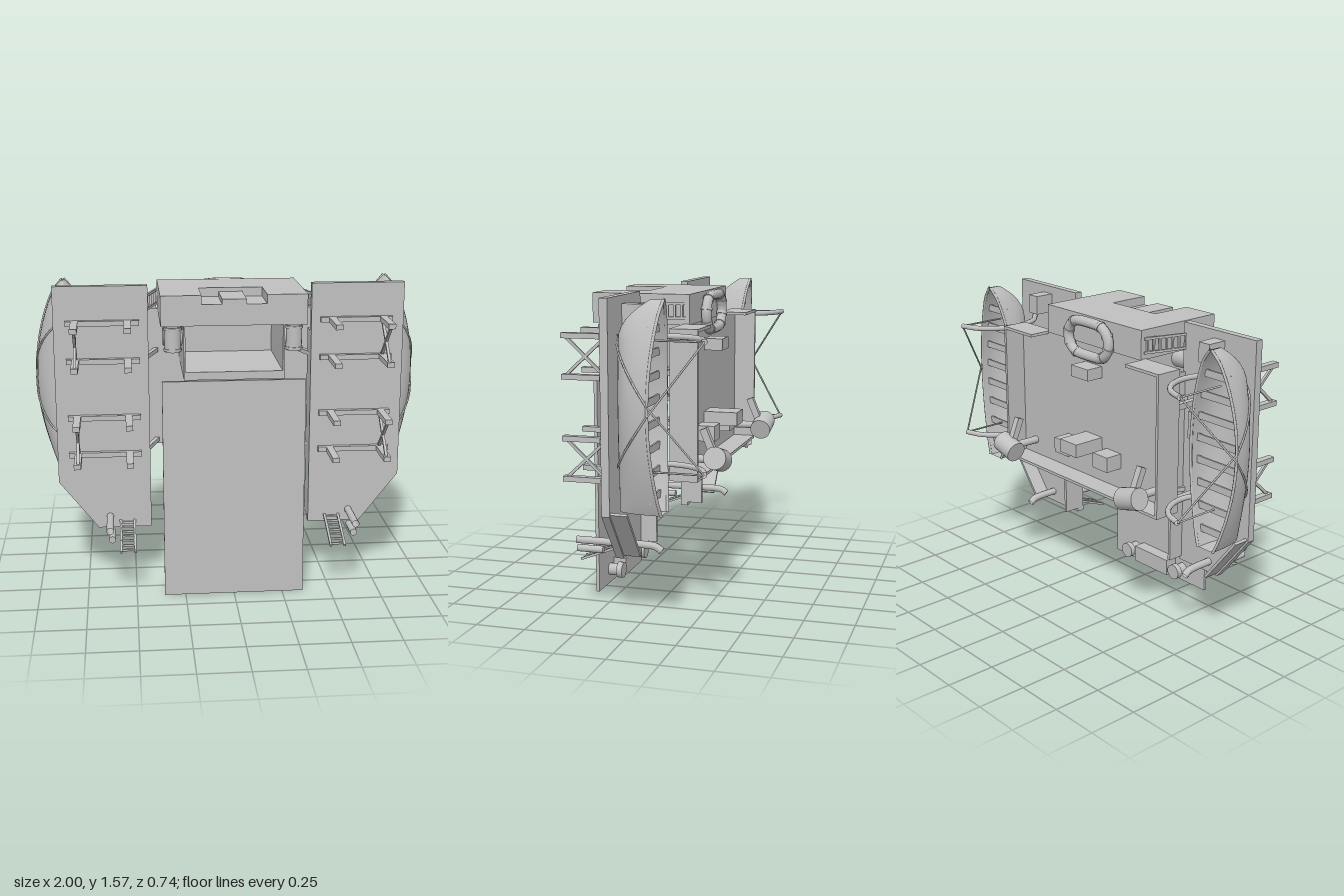
import * as THREE from 'three';

const grey = new THREE.MeshStandardMaterial({ color: 0xc0c0c0, side: THREE.DoubleSide });
grey.name = 'plain grey';

const V = (x, y, z) => new THREE.Vector3(x, y, z);

function add(parent, name, geometry) {
  const mesh = new THREE.Mesh(geometry, grey);
  mesh.name = name;
  parent.add(mesh);
  return mesh;
}

// Box given by its extents along each axis
function box(parent, name, x0, x1, y0, y1, z0, z1) {
  const m = add(parent, name, new THREE.BoxGeometry(Math.abs(x1 - x0), Math.abs(y1 - y0), Math.abs(z1 - z0)));
  m.position.set((x0 + x1) / 2, (y0 + y1) / 2, (z0 + z1) / 2);
  return m;
}

// Round rod between two points
function rod(parent, name, a, b, r, sides = 16) {
  const d = b.clone().sub(a);
  const m = add(parent, name, new THREE.CylinderGeometry(r, r, d.length(), sides));
  m.position.copy(a).add(b).multiplyScalar(0.5);
  m.quaternion.setFromUnitVectors(V(0, 1, 0), d.normalize());
  return m;
}

// Square bar between two points
function bar(parent, name, a, b, t) {
  const m = add(parent, name, new THREE.BoxGeometry(t, t, a.distanceTo(b)));
  m.position.copy(a).add(b).multiplyScalar(0.5);
  m.lookAt(b);
  return m;
}

function tube(parent, name, points, r, segments = 24, closed = false) {
  const curve = new THREE.CatmullRomCurve3(points, closed);
  return add(parent, name, new THREE.TubeGeometry(curve, segments, r, 10, closed));
}

// Flat plate from an outline in x and y, mirrored by s, between two depths
function plate(parent, name, s, outline, z0, z1) {
  const shape = new THREE.Shape(outline.map(([x, y]) => new THREE.Vector2(s * x, y)));
  const m = add(parent, name, new THREE.ExtrudeGeometry(shape, { depth: z1 - z0, bevelEnabled: false }));
  m.position.z = z0;
  return m;
}

// Surface from a function of two parameters
function grid(fn, nu, nv) {
  const pos = [], idx = [];
  for (let i = 0; i <= nu; i++) for (let j = 0; j <= nv; j++) {
    pos.push(...fn(i / nu, j / nv).toArray());
    if (i < nu && j < nv) {
      const a = i * (nv + 1) + j, b = a + nv + 1;
      idx.push(a, b, a + 1, b, b + 1, a + 1);
    }
  }
  const g = new THREE.BufferGeometry();
  g.setAttribute('position', new THREE.Float32BufferAttribute(pos, 3));
  g.setIndex(idx);
  g.computeVertexNormals();
  return g;
}

function ladder(parent, name, a, b, across, steps) {
  const g = new THREE.Group();
  g.name = name;
  parent.add(g);
  for (const k of [-1, 1]) {
    const o = across.clone().multiplyScalar(k);
    bar(g, 'ladderRail', a.clone().add(o), b.clone().add(o), 0.012);
  }
  for (let i = 0; i < steps; i++) {
    const p = a.clone().lerp(b, (i + 0.5) / steps);
    bar(g, 'ladderRung', p.clone().sub(across), p.clone().add(across), 0.01);
  }
}

// Boat hull shape: u runs stern to bow, v runs gunwale to gunwale
const beam = u => u < 0.5 ? 0.05 + 0.098 * Math.pow(Math.sin(Math.PI * u), 0.85)
  : 0.004 + 0.144 * Math.pow(Math.max(0, Math.cos(Math.PI * (u - 0.5))), 0.65);
const gunwale = u => -0.115 - 0.035 * (2 * u - 1) ** 2;
const keel = u => 0.065 - 0.15 * (Math.max(0, u - 0.82) / 0.18) ** 2;
function hull(s, u, v, k = 1) {
  const a = Math.PI * v;
  return V(s * (0.845 + k * beam(u) * Math.cos(a)), 0.575 + 0.99 * u,
    gunwale(u) + (keel(u) - gunwale(u)) * k * Math.pow(Math.max(0, Math.sin(a)), 0.8));
}

function lifeboat(s) {
  const g = new THREE.Group();
  g.name = 'lifeboat';
  add(g, 'hull', grid((u, v) => hull(s, u, v), 32, 20));
  add(g, 'innerHull', grid((u, v) => hull(s, u, v, 0.93), 32, 20));
  add(g, 'transom', grid((t, v) => { const p = hull(s, 0, v); p.x = s * 0.845 + (p.x - s * 0.845) * t; return p; }, 1, 20));
  for (const v of [0, 1]) {
    tube(g, 'gunwaleRail', Array.from({ length: 17 }, (_, i) => hull(s, i / 16, v)), 0.007, 40);
  }
  // Rowing benches
  for (let i = 0; i < 8; i++) {
    const u = 0.08 + i * 0.112, w = beam(u) * 0.93, y = 0.575 + 0.99 * u, z = gunwale(u) + 0.03;
    box(g, 'bench', s * (0.845 - w), s * (0.845 + w), y - 0.018, y + 0.018, z, z + 0.01);
  }
  // Davit arms and falls
  const tips = [1.38, 0.77];
  tips.forEach((y, i) => {
    tube(g, 'davit', [V(s * 0.77, y, 0.1), V(s * 0.69, y, 0.02), V(s * 0.65, y, -0.12),
      V(s * 0.68, y, -0.23), V(s * 0.75, y, -0.305), V(s * 0.845, y, -0.34)], 0.014);
    const tip = V(s * 0.845, y, -0.34);
    rod(g, 'fall', tip, V(s * 0.845, y, -0.08), 0.005, 6);
    // Lashing from the tip over the outside of the hull to the other davit
    const path = [tip];
    for (let j = 0; j <= 8; j++) {
      const v = j / 8 * 0.42;
      let p = hull(s, 0.5, v, 1.03);
      for (let n = 0; n < 4; n++) {
        const ly = y + (tips[1 - i] - y) * Math.min(1, (p.z + 0.34) / 0.42);
        p = hull(s, (ly - 0.575) / 0.99, v, 1.03);
      }
      path.push(p);
    }
    for (let j = 0; j < path.length - 1; j++) rod(g, 'lashing', path[j], path[j + 1], 0.005, 6);
  });
  return g;
}

// Side deck with its supports and fittings
function sideDeck(s) {
  const g = new THREE.Group();
  g.name = 'sideDeck';
  plate(g, 'deckPlate', s, [[0.415, 0.295], [0.69, 0.295], [0.89, 0.55], [0.89, 1.57], [0.415, 1.57]], 0.104, 0.144);
  box(g, 'innerFlange', s * 0.415, s * 0.43, 0.315, 1.32, 0.02, 0.105);
  plate(g, 'slantedBulwark', s, [[0.69, 0.31], [0.885, 0.56], [0.873, 0.568], [0.678, 0.318]], 0.02, 0.105);
  // Bracket frames with crossed braces
  for (const [lo, hi] of [[1.19, 1.385], [0.7, 0.895]]) {
    for (const y of [lo, hi]) {
      box(g, 'bracketRail', s * 0.46, s * 0.83, y - 0.013, y + 0.013, 0.14, 0.17);
      for (const x of [0.52, 0.783]) box(g, 'bracketLeg', s * (x - 0.018), s * (x + 0.018), y - 0.013, y + 0.013, 0.14, 0.37);
    }
    bar(g, 'crossBrace', V(s * 0.78, lo, 0.15), V(s * 0.78, hi, 0.36), 0.014);
    bar(g, 'crossBrace', V(s * 0.78, hi, 0.15), V(s * 0.78, lo, 0.36), 0.014);
  }
  ladder(g, 'lowerLadder', V(s * 0.54, 0.33, 0.14), V(s * 0.54, 0.24, 0.37), V(0.036, 0, 0), 7);
  ladder(g, 'upperLadder', V(s * 0.36, 1.475, -0.11), V(s * 0.43, 1.475, 0.12), V(0, 0.035, 0), 7);
  // Pipes and fittings
  rod(g, 'shortPipe', V(s * 0.62, 0.31, 0.235), V(s * 0.62, 0.31, 0.37), 0.018);
  tube(g, 'ventPipe', [V(s * 0.63, 0.355, 0.37), V(s * 0.63, 0.355, 0.2), V(s * 0.63, 0.355, 0), V(s * 0.63, 0.35, -0.04), V(s * 0.63, 0.33, -0.07)], 0.019, 32);
  box(g, 'locker', s * 0.62, s * 0.69, 1.43, 1.53, 0, 0.105);
  box(g, 'lowLocker', s * 0.5, s * 0.56, 1.0, 1.14, 0.06, 0.105);
  // Posts and struts up to the bridge floor
  for (const y of [0.7, 1.19]) {
    box(g, 'post', s * 0.505, s * 0.535, y - 0.015, y + 0.015, -0.1, 0.105);
    bar(g, 'strut', V(s * 0.37, y, -0.1), V(s * 0.44, y, 0.105), 0.022);
  }
  // Searchlight on the bridge corner
  rod(g, 'lightPost', V(s * 0.49, 0.77, -0.11), V(s * 0.49, 0.77, -0.28), 0.02);
  bar(g, 'lightArm', V(s * 0.49, 0.92, -0.24), V(s * 0.49, 0.8, -0.29), 0.035);
  rod(g, 'searchlight', V(s * 0.43, 0.755, -0.312), V(s * 0.555, 0.79, -0.312), 0.056, 24);
  // Drums beside the lower house
  rod(g, 'drum', V(s * 0.3, 1.27, 0.32), V(s * 0.3, 1.395, 0.32), 0.04);
  for (const y of [1.275, 1.38]) rod(g, 'drumRim', V(s * 0.3, y, 0.32), V(s * 0.3, y + 0.012, 0.32), 0.045);
  rod(g, 'reel', V(s * 0.25, 1.335, 0.235), V(s * 0.345, 1.335, 0.235), 0.052, 24);
  // Mushroom vent at the foot of the centre panel
  rod(g, 'ventStem', V(s * 0.19, 0.075, 0.36), V(s * 0.19, 0.075, 0.3), 0.032);
  rod(g, 'ventCap', V(s * 0.19, 0.075, 0.31), V(s * 0.19, 0.075, 0.28), 0.042);
  return g;
}

function bridge() {
  const g = new THREE.Group();
  g.name = 'bridge';
  // Floor and bulwarks
  box(g, 'bridgeFloor', -0.6, 0.6, 0.68, 1.41, -0.125, -0.1);
  box(g, 'foreBulwark', -0.6, 0.6, 0.675, 0.69, -0.24, -0.1);
  for (const s of [-1, 1]) {
    box(g, 'sideBulwark', s * 0.585, s * 0.6, 0.675, 1.41, -0.24, -0.1);
    box(g, 'aftBulwark', s * 0.365, s * 0.6, 1.395, 1.41, -0.24, -0.1);
    box(g, 'houseWall', s * 0.24, s * 0.248, 1.135, 1.41, -0.1, 0.372);
    box(g, 'roofCheek', s * 0.16, s * 0.36, 1.51, 1.555, -0.13, 0.373);
    box(g, 'instrumentBox', s * 0.1, s * 0.21, 0.8, 0.88, -0.22, -0.125);
  }
  // House
  box(g, 'houseBlock', -0.36, 0.36, 1.405, 1.51, -0.13, 0.373);
  box(g, 'blockTop', -0.16, 0.16, 1.51, 1.555, -0.13, 0.15);
  box(g, 'hatchStep', -0.06, 0.06, 1.51, 1.535, 0.15, 0.373);
  box(g, 'houseFloor', -0.24, 0.24, 1.135, 1.175, -0.1, 0.372);
  box(g, 'controlStand', -0.065, 0.065, 0.86, 0.93, -0.3, -0.125);
  box(g, 'smallBox', -0.065, 0.065, 1.25, 1.31, -0.22, -0.125);
  // Life raft ring with lashings
  const ring = [];
  for (let i = 0; i < 24; i++) {
    const a = i / 24 * Math.PI * 2, c = Math.cos(a);
    ring.push(V(Math.sign(c) * 0.07 + 0.085 * c, 1.445 + 0.085 * Math.sin(a), -0.16));
  }
  tube(g, 'raftRing', ring, 0.026, 64, true);
  for (let i = 1; i < 24; i += 3) {
    const next = ring[(i + 1) % 24].clone().sub(ring[i]).normalize().multiplyScalar(0.007);
    rod(g, 'raftBand', ring[i].clone().sub(next), ring[i].clone().add(next), 0.029);
  }
  return g;
}

export function createModel() {
  const model = new THREE.Group();
  model.name = 'deckSection';
  // Centre panel and what is fixed to its back
  box(model, 'centrePanel', -0.357, 0.357, 0, 1.13, 0.358, 0.375);
  box(model, 'panelLocker', -0.13, 0.13, 0.03, 0.12, 0.29, 0.358);
  box(model, 'hatchTrunk', -0.17, 0.17, 0.97, 1.09, 0.145, 0.358);
  box(model, 'winchBox', -0.1, 0.1, 0.77, 0.87, 0.3, 0.358);
  model.add(bridge());
  for (const s of [-1, 1]) model.add(sideDeck(s), lifeboat(s));
  return model;
}
